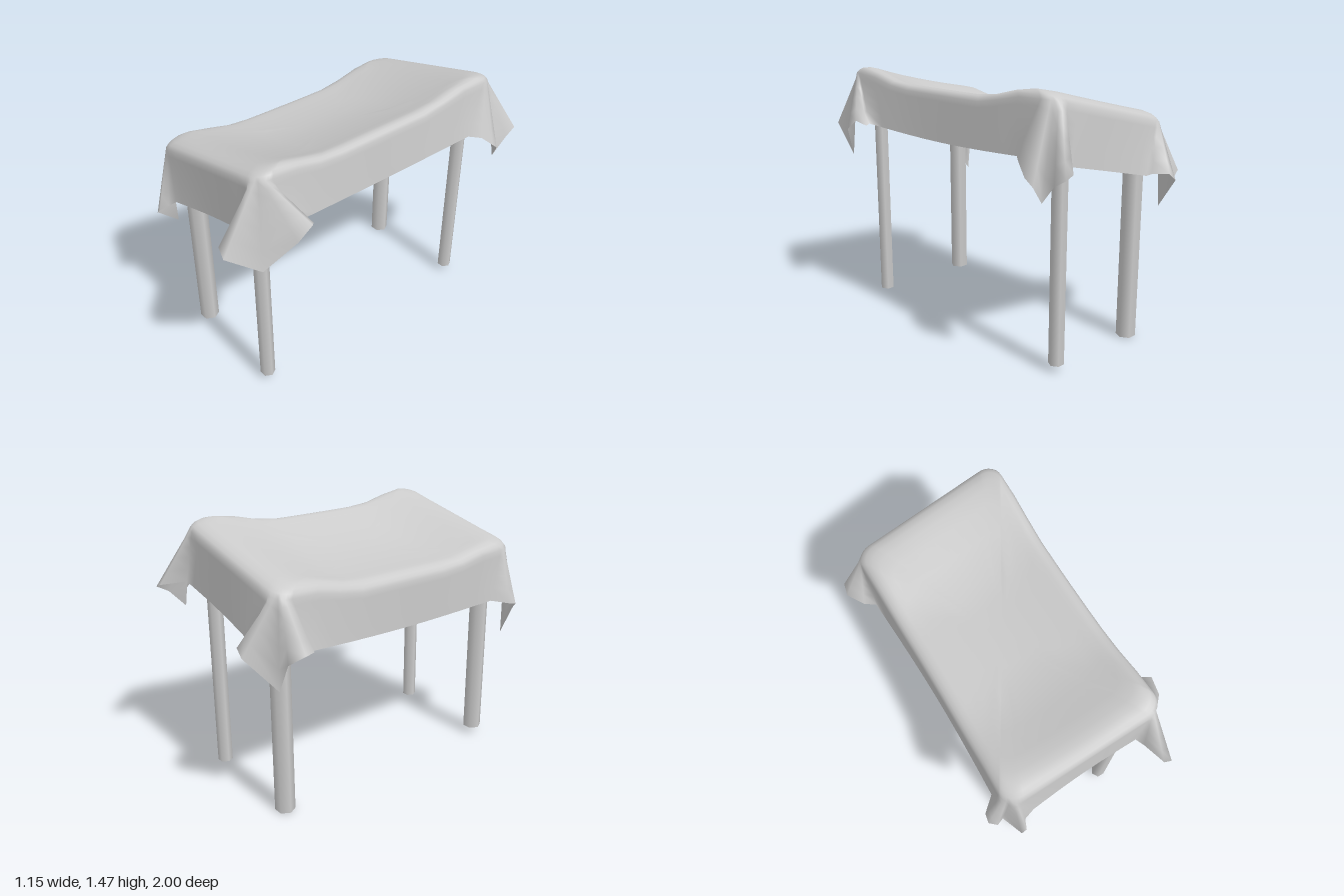
import * as THREE from 'three';

const grey = new THREE.MeshStandardMaterial({ color: 0xcccccc });
const clothMat = new THREE.MeshStandardMaterial({ color: 0xcccccc, side: THREE.DoubleSide });
const { lerp, clamp, smoothstep } = THREE.MathUtils;

// Hem of the four draped corners, running from +z round to +x, -z and -x.
// Each goes: flap end, first ear, low tip (5th point), second ear, flap end.
const hemCorners = [
  [[0.33, 1.11, 0.81], [0.345, 1.13, 0.86], [0.38, 1.14, 0.99], [0.43, 1.10, 1.0], [0.455, 0.93, 0.80],
    [0.575, 1.12, 0.67], [0.575, 1.18, 0.58], [0.53, 1.15, 0.54], [0.475, 1.15, 0.59]],
  [[0.48, 1.15, -0.64], [0.53, 1.14, -0.70], [0.56, 1.08, -0.77], [0.555, 1.04, -0.82], [0.515, 0.96, -0.84],
    [0.53, 1.06, -0.93], [0.53, 1.10, -1.0], [0.48, 1.12, -1.0], [0.42, 1.13, -0.87]],
  [[-0.25, 0.97, -0.88], [-0.27, 0.98, -0.90], [-0.30, 0.99, -0.99], [-0.35, 0.95, -0.995], [-0.43, 0.76, -0.84],
    [-0.56, 0.95, -0.87], [-0.58, 0.98, -0.78], [-0.52, 0.96, -0.69], [-0.46, 0.94, -0.66]],
  [[-0.45, 0.93, 0.64], [-0.53, 0.92, 0.71], [-0.54, 0.91, 0.76], [-0.50, 0.88, 0.79], [-0.445, 0.71, 0.75],
    [-0.41, 0.85, 0.89], [-0.38, 0.88, 0.89], [-0.36, 0.90, 0.84], [-0.30, 0.95, 0.825]],
];

// Sloping, sagging roof height
function roofY(x, z) {
  const edgeSag = 0.06 * (1 - smoothstep(Math.abs(z), 0.3, 0.68));
  const midSag = 0.05 * Math.max(0, 1 - (x / 0.44) ** 2) * Math.max(0, 1 - (z / 0.78) ** 4);
  return 1.385 + 0.237 * clamp(x, -0.44, 0.44) - edgeSag - midSag;
}

function makeCloth() {
  const hem = [], edge = [];
  const R = 0.09, EX = 0.447, ZF = 0.80, ZB = -0.85, SIDE = 10, DROP = 0.055;
  // Shoulder outline point on rounded corner c, t from 0 to 1
  const arc = (c, t) => {
    const sx = c < 2 ? 1 : -1, front = c === 0 || c === 3;
    const a = (c + t) * Math.PI / 2;
    return [sx * (EX - R) + R * Math.sin(a), (front ? ZF - R : ZB + R) + R * Math.cos(a)];
  };
  for (let c = 0; c < 4; c++) {
    const pts = hemCorners[c], next = hemCorners[(c + 1) % 4];
    pts.forEach((p, i) => { hem.push(p); edge.push(arc(c, i / (pts.length - 1))); });
    // Straight flap up to the next corner, pinched slightly inwards
    const a = pts[pts.length - 1], b = next[0], ea = arc(c, 1), eb = arc((c + 1) % 4, 0);
    const long = c % 2 === 0;
    for (let i = 1; i < SIDE; i++) {
      const t = i / SIDE, bow = Math.sin(Math.PI * t);
      hem.push([
        lerp(a[0], b[0], t) * (long ? 1 - 0.045 * bow : 1),
        lerp(a[1], b[1], t) - (long ? 0.025 * bow : 0),
        lerp(a[2], b[2], t) * (long ? 1 : 1 - 0.012 * bow),
      ]);
      const pinch = long ? 1 - 0.025 * bow : 1;
      edge.push([lerp(ea[0], eb[0], t) * pinch, lerp(ea[1], eb[1], t)]);
    }
  }

  // Rings outwards from the middle of the roof, over the shoulder and down to the hem
  const n = hem.length, pos = [0, roofY(0, 0), 0], index = [];
  const topRings = [[0.2, 0], [0.4, 0], [0.6, 0], [0.75, 0], [0.84, 0], [0.9, 0.005], [0.95, 0.018],
    [0.98, 0.034], [1, DROP]];
  for (const [k, drop] of topRings) {
    for (const [x, z] of edge) pos.push(x * k, roofY(x * k, z * k) - drop, z * k);
  }
  const flapRings = [0.12, 0.3, 0.5, 0.75, 1];
  for (const s of flapRings) {
    hem.forEach((h, j) => {
      const [x, z] = edge[j];
      pos.push(lerp(x, h[0], s), lerp(roofY(x, z) - DROP, h[1], s), lerp(z, h[2], s));
    });
  }
  const rings = topRings.length + flapRings.length;
  for (let j = 0; j < n; j++) {
    const k = (j + 1) % n;
    index.push(0, 1 + j, 1 + k);
    for (let r = 0; r < rings - 1; r++) {
      const a = 1 + r * n, b = a + n;
      index.push(a + j, b + j, b + k, a + j, b + k, a + k);
    }
  }
  const geo = new THREE.BufferGeometry();
  geo.setAttribute('position', new THREE.Float32BufferAttribute(pos, 3));
  geo.setIndex(index);
  geo.computeVertexNormals();
  const mesh = new THREE.Mesh(geo, clothMat);
  mesh.name = 'clothCanopy';
  return mesh;
}

// Six-sided pole standing between two heights
function makePole(name, x, z, r, y0, y1) {
  const mesh = new THREE.Mesh(new THREE.CylinderGeometry(r, r, y1 - y0, 6), grey);
  mesh.rotation.y = Math.PI / 2;
  mesh.position.set(x, (y0 + y1) / 2, z);
  mesh.name = name;
  return mesh;
}

// Square-edged rail between two points
function makeRail(name, a, b) {
  const from = new THREE.Vector3(...a), to = new THREE.Vector3(...b);
  const mesh = new THREE.Mesh(new THREE.BoxGeometry(0.055, 0.1, from.distanceTo(to)), grey);
  mesh.position.copy(from).lerp(to, 0.5);
  mesh.lookAt(to);
  mesh.name = name;
  return mesh;
}

export function createModel() {
  const group = new THREE.Group();
  group.name = 'marketCanopy';
  group.add(makeCloth());

  // Poles: thicker on the low side
  group.add(
    makePole('frontLeftPole', 0.307, 0.708, 0.042, 0.04, 1.42),
    makePole('backLeftPole', 0.307, -0.767, 0.042, 0.04, 1.42),
    makePole('frontRightPole', -0.305, 0.697, 0.055, 0.04, 1.28),
    makePole('backRightPole', -0.305, -0.753, 0.055, 0, 1.28),
  );

  // Frame under the cloth, fixed to the outside of the poles
  const low = 1.15, high = 1.315, x = 0.375, front = 0.755, back = -0.81;
  group.add(
    makeRail('rightRail', [-x, low, back], [-x, low, front]),
    makeRail('leftRail', [x, high, back], [x, high, front]),
    makeRail('frontRail', [-x, low, front], [x, high, front]),
    makeRail('backRail', [-x, low, back], [x, high, back]),
  );
  return group;
}
